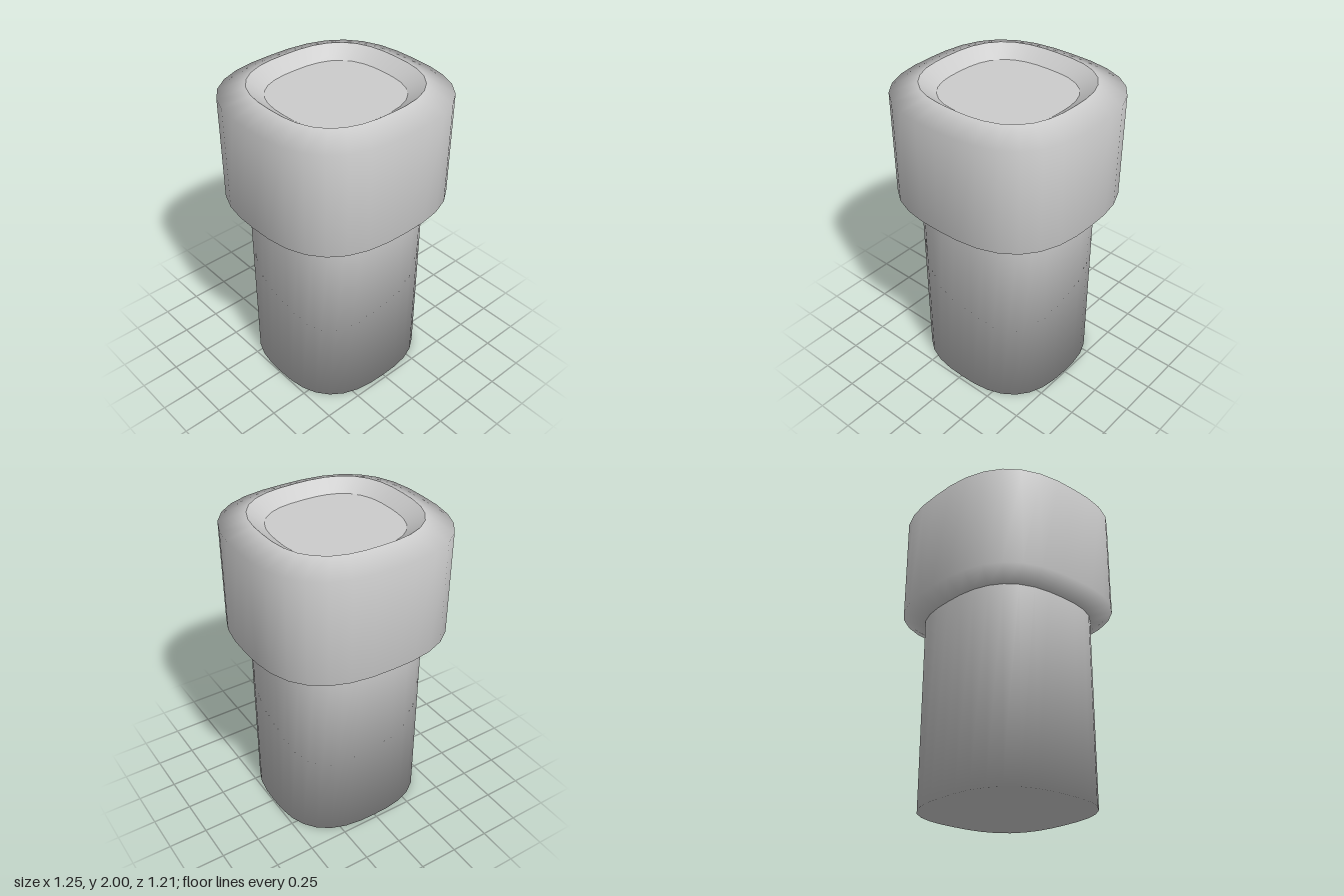
import * as THREE from 'three';

const SEGMENTS = 32;
const ROUNDNESS = 2.7; // exponent of the rounded-square outline
const DEPTH_RATIO = 0.965; // z size relative to x size

// Point on the rounded-square outline with unit half-width
function outline(j) {
  const t = (j / SEGMENTS) * Math.PI * 2;
  const a = t + 0.03 * Math.sin(4 * t);
  const s = Math.sin(a), c = Math.cos(a);
  const r = (Math.abs(s) ** ROUNDNESS + Math.abs(c) ** ROUNDNESS) ** (-1 / ROUNDNESS);
  return [s * r, c * r * DEPTH_RATIO];
}

// Smooth skin through rings given as [halfWidth, y]; a zero width closes the end
function loft(rings) {
  const positions = [], index = [];
  rings.forEach(([w, y], i) => {
    for (let j = 0; j < SEGMENTS; j++) {
      const [x, z] = outline(j);
      positions.push(x * w, y, z * w);
      if (i === 0) continue;
      const k = (j + 1) % SEGMENTS;
      const a = (i - 1) * SEGMENTS + j, b = (i - 1) * SEGMENTS + k;
      const c = i * SEGMENTS + k, d = i * SEGMENTS + j;
      if (rings[i - 1][0] > 0) index.push(a, b, w > 0 ? c : d);
      if (w > 0) index.push(a, c, d);
    }
  });
  const geometry = new THREE.BufferGeometry();
  geometry.setAttribute('position', new THREE.Float32BufferAttribute(positions, 3));
  geometry.setIndex(index);
  geometry.computeVertexNormals();
  return geometry;
}

export function createModel() {
  const group = new THREE.Group();
  group.name = 'cappedPeg';
  const material = new THREE.MeshStandardMaterial({ color: 0xcccccc, side: THREE.DoubleSide });

  const add = (name, rings) => {
    const mesh = new THREE.Mesh(loft(rings), material);
    mesh.name = name;
    group.add(mesh);
    return mesh;
  };

  // Shaft with its base, shaded softly from the base into the sides
  const shaft = add('shaft', [[0, 0], [0.494, 0], [0.494, 1.22]]);
  const normals = shaft.geometry.attributes.normal;
  for (let i = 0; i < 2 * SEGMENTS; i++) normals.setXYZ(i, 0, -1, 0);

  // Wide head with bevelled lower and upper edges
  add('head', [[0.494, 1.22], [0.625, 1.28], [0.625, 1.94], [0.47, 2]]);

  // Shallow dish in the top of the head
  add('dishWall', [[0.47, 2], [0.377, 1.93]]);
  add('dishFloor', [[0.377, 1.93], [0, 1.93]]);

  return group;
}
